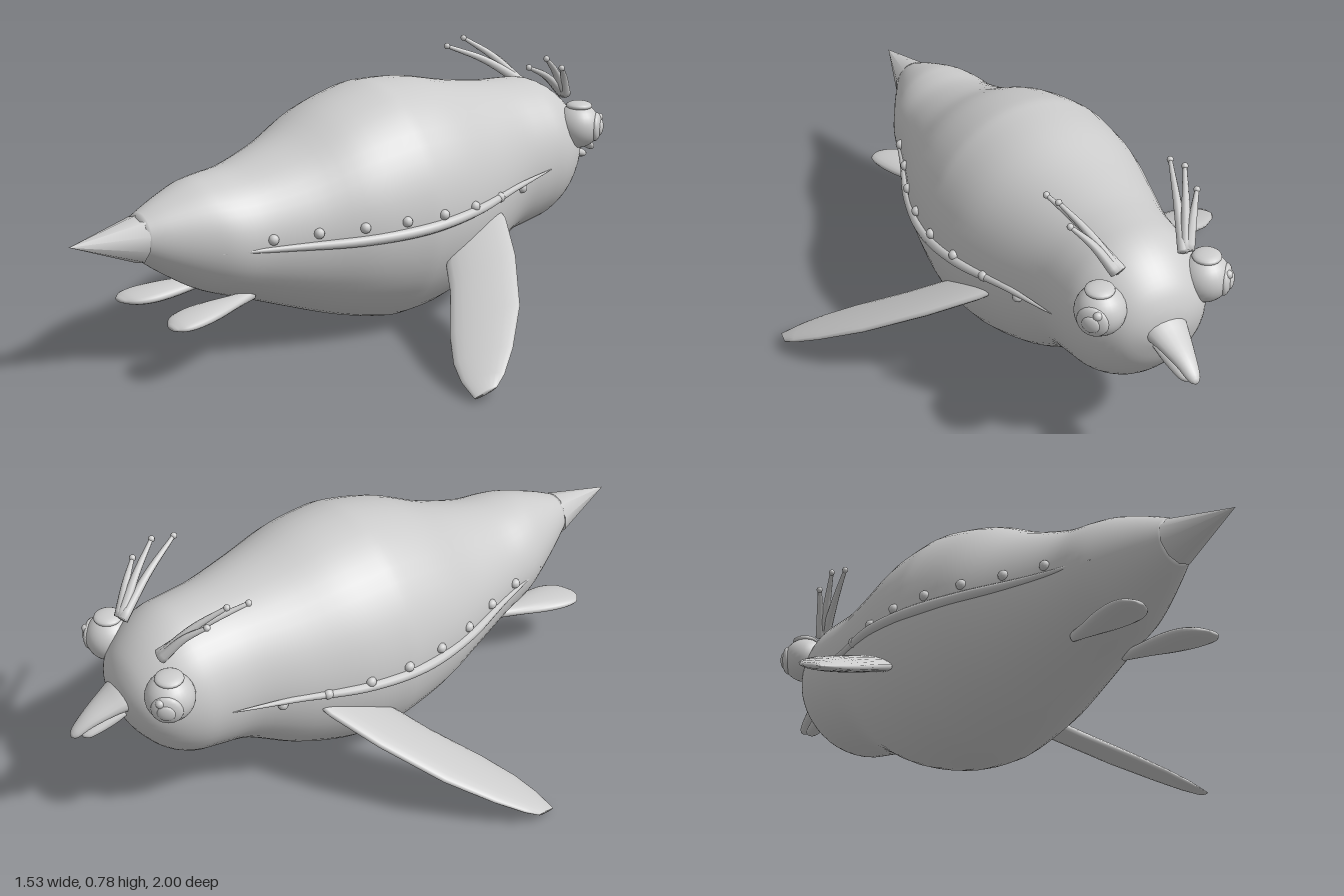
import * as THREE from 'three';

const V = (x, y, z) => new THREE.Vector3(x, y, z);

// Skin through elliptical sections { c, u, v }, advancing along u x v, closed at both ends
function loft(sections, n) {
  const pos = [], index = [];
  for (const { c, u, v } of sections) {
    for (let j = 0; j < n; j++) {
      const a = (j / n) * Math.PI * 2;
      const p = c.clone().addScaledVector(u, Math.cos(a)).addScaledVector(v, Math.sin(a));
      pos.push(p.x, p.y, p.z);
    }
  }
  const last = sections.length - 1;
  for (let i = 0; i < last; i++) {
    for (let j = 0; j < n; j++) {
      const k = (j + 1) % n, a = i * n, b = a + n;
      index.push(a + j, a + k, b + j, a + k, b + k, b + j);
    }
  }
  const c0 = pos.length / 3, c1 = c0 + 1;
  pos.push(...sections[0].c.toArray(), ...sections[last].c.toArray());
  for (let j = 0; j < n; j++) {
    const k = (j + 1) % n;
    index.push(c0, k, j, c1, last * n + j, last * n + k);
  }
  const g = new THREE.BufferGeometry();
  g.setAttribute('position', new THREE.Float32BufferAttribute(pos, 3));
  g.setIndex(index);
  g.computeVertexNormals();
  return g;
}

// Smooth rows of [z, top, bottom, halfWidth, x] into upright sections running towards +z
function smoothSections(rows, steps) {
  const a = new THREE.CatmullRomCurve3(rows.map((r) => V(r[0], r[1], r[2])), false, 'catmullrom', 0.5);
  const b = new THREE.CatmullRomCurve3(rows.map((r) => V(r[3], r[4] || 0, 0)), false, 'catmullrom', 0.5);
  return Array.from({ length: steps + 1 }, (_, i) => {
    const p = a.getPoint(i / steps), w = b.getPoint(i / steps);
    return {
      c: V(w.y, (p.y + p.z) / 2, p.x),
      u: V(Math.max(w.x, 0.001), 0, 0),
      v: V(0, Math.max((p.y - p.z) / 2, 0.001), 0),
    };
  });
}

// Tube along a curve with a radius given by a rule
function taperedTube(points, radius, steps, n) {
  const curve = new THREE.CatmullRomCurve3(points);
  const sections = Array.from({ length: steps + 1 }, (_, i) => {
    const t = i / steps, d = curve.getTangent(t), r = radius(t);
    const u = V(0, 1, 0).cross(d).normalize();
    const v = d.clone().cross(u);
    return { c: curve.getPoint(t), u: u.multiplyScalar(r), v: v.multiplyScalar(r) };
  });
  return loft(sections, n);
}

function ball(r, p, n = 12) {
  return new THREE.SphereGeometry(r, n, Math.max(6, n * 0.7 | 0)).translate(p.x, p.y, p.z);
}

function mirrored(g) {
  const m = g.clone().scale(-1, 1, 1);
  const idx = m.index.array;
  for (let i = 0; i < idx.length; i += 3) [idx[i], idx[i + 1]] = [idx[i + 1], idx[i]];
  return m;
}

export function createModel() {
  const model = new THREE.Group();
  model.name = 'swimmingBird';
  const grey = new THREE.MeshStandardMaterial({ color: 0xcccccc });
  grey.name = 'grey';

  const add = (name, g) => {
    const mesh = new THREE.Mesh(g, grey);
    mesh.name = name;
    model.add(mesh);
  };
  const addPair = (name, g) => {
    add(name + 'Left', g);
    add(name + 'Right', mirrored(g));
  };

  // Body and head
  const bodySections = smoothSections([
    [-0.852, 0.47, 0.43, 0.02], [-0.84, 0.52, 0.39, 0.08], [-0.81, 0.575, 0.32, 0.135],
    [-0.75, 0.63, 0.245, 0.185], [-0.68, 0.664, 0.203, 0.215], [-0.6, 0.673, 0.185, 0.223],
    [-0.5, 0.68, 0.162, 0.236], [-0.35, 0.703, 0.075, 0.285], [-0.2, 0.736, 0.02, 0.325],
    [-0.08, 0.745, 0.004, 0.338], [0, 0.74, 0.01, 0.335], [0.15, 0.695, 0.05, 0.31],
    [0.3, 0.62, 0.105, 0.256], [0.45, 0.57, 0.163, 0.205], [0.55, 0.556, 0.2, 0.182],
    [0.62, 0.545, 0.232, 0.152], [0.72, 0.508, 0.297, 0.1], [0.79, 0.475, 0.35, 0.06],
  ], 68);
  add('body', loft(bodySections, 48));

  // Half width of the body at a given height and depth
  const bodyX = (y, z) => {
    const i = Math.max(1, bodySections.findIndex((s) => s.c.z >= z));
    const a = bodySections[i - 1], b = bodySections[i];
    const t = (z - a.c.z) / (b.c.z - a.c.z), mix = THREE.MathUtils.lerp;
    const h = (y - mix(a.c.y, b.c.y, t)) / mix(a.v.y, b.v.y, t);
    return mix(a.u.x, b.u.x, t) * Math.sqrt(Math.max(0, 1 - h * h));
  };

  // Tail cone
  add('tail', new THREE.ConeGeometry(0.072, 0.22, 10)
    .rotateX(Math.PI / 2 - 0.08).translate(0, 0.417, 0.89));

  // Beak
  add('upperBeak', loft(smoothSections([
    [-1, 0.388, 0.375, 0.008], [-0.985, 0.405, 0.373, 0.02], [-0.945, 0.434, 0.392, 0.032],
    [-0.88, 0.468, 0.41, 0.052], [-0.83, 0.495, 0.41, 0.066], [-0.78, 0.5, 0.41, 0.066],
  ], 20), 16));
  add('lowerBeak', loft(smoothSections([
    [-0.965, 0.37, 0.36, 0.008], [-0.945, 0.383, 0.354, 0.022], [-0.88, 0.415, 0.37, 0.036],
    [-0.83, 0.43, 0.4, 0.045], [-0.78, 0.44, 0.4, 0.045],
  ], 16), 16));

  // Eyes: ball, iris, pupil, glint and upper lid
  const eye = V(0.165, 0.525, -0.765);
  const gaze = V(0.72, -0.02, -0.6).normalize();
  const disc = (r, thick, out) => {
    const g = new THREE.SphereGeometry(r, 24, 12).scale(1, 1, thick);
    g.applyQuaternion(new THREE.Quaternion().setFromUnitVectors(V(0, 0, 1), gaze));
    const p = eye.clone().addScaledVector(gaze, out);
    return g.translate(p.x, p.y, p.z);
  };
  addPair('eyeball', ball(0.072, eye, 28).translate(0, 0, 0));
  addPair('iris', disc(0.046, 0.4, 0.058));
  addPair('pupil', disc(0.026, 0.4, 0.072));
  addPair('glint', ball(0.013, V(0.205, 0.552, -0.82)));
  addPair('eyelid', new THREE.SphereGeometry(0.042, 20, 10).scale(1, 0.35, 1)
    .translate(0.168, 0.592, -0.765));

  // Crest feathers with beaded tips
  const tips = [V(0.196, 0.756, -0.515), V(0.198, 0.774, -0.587), V(0.198, 0.735, -0.653)];
  tips.forEach((tip, i) => {
    const base = V(0.098 + i * 0.008, 0.622, -0.755);
    const mid = base.clone().lerp(tip, 0.5).add(V(0, 0.014, 0));
    addPair('crestFeather' + (i + 1), taperedTube([base, mid, tip], (t) => 0.017 - 0.011 * t, 12, 8));
    addPair('crestTip' + (i + 1), ball(0.01, tip, 10));
  });

  // Side fold lying on the body
  const foldPath = [[0.6, 0.368], [0.4, 0.362], [0.2, 0.361], [0, 0.368], [-0.2, 0.384], [-0.4, 0.402], [-0.6, 0.42]]
    .map(([z, y]) => V(bodyX(y, z), y, z));
  addPair('sideFold', taperedTube(foldPath, (t) => 0.001 + 0.016 * Math.sin(Math.PI * t) ** 0.8, 40, 10));

  // Row of beads above the fold
  for (let i = 0; i < 8; i++) {
    const z = 0.456 - i * 0.1294;
    const y = 0.392 + 0.01 * Math.sin((i / 7) * Math.PI);
    addPair('sideBead' + (i + 1), ball(0.016, V(bodyX(y, z), y, z)));
  }

  // Flippers: [leading x, z, trailing x, z, half thickness], swept on a tilted plane
  const onPlane = (x, z) => V(x, 0.268 - 0.24 * x - 0.42 * z, z);
  const up = V(0.24, 1, 0.42).normalize();
  const flipper = [
    [0.2, -0.36, 0.22, -0.17, 0.022], [0.31, -0.33, 0.33, -0.08, 0.024], [0.445, -0.25, 0.4, -0.035, 0.024],
    [0.6, -0.13, 0.53, 0.075, 0.022], [0.7, -0.015, 0.615, 0.132, 0.018], [0.75, 0.06, 0.68, 0.158, 0.014],
    [0.766, 0.1, 0.75, 0.17, 0.008],
  ].map(([lx, lz, tx, tz, h]) => {
    const lead = onPlane(lx, lz), trail = onPlane(tx, tz);
    return {
      c: lead.clone().add(trail).multiplyScalar(0.5),
      u: up.clone().multiplyScalar(h),
      v: trail.clone().sub(lead).multiplyScalar(0.5),
    };
  });
  addPair('flipper', loft(flipper, 20));

  // Webbed feet trailing under the tail
  addPair('foot', loft(smoothSections([
    [0.46, 0.215, 0.185, 0.012, 0.1], [0.54, 0.212, 0.177, 0.034, 0.108], [0.62, 0.211, 0.168, 0.055, 0.118],
    [0.69, 0.205, 0.165, 0.064, 0.127], [0.74, 0.196, 0.167, 0.053, 0.137], [0.768, 0.184, 0.173, 0.02, 0.145],
  ], 20), 18));

  return model;
}
